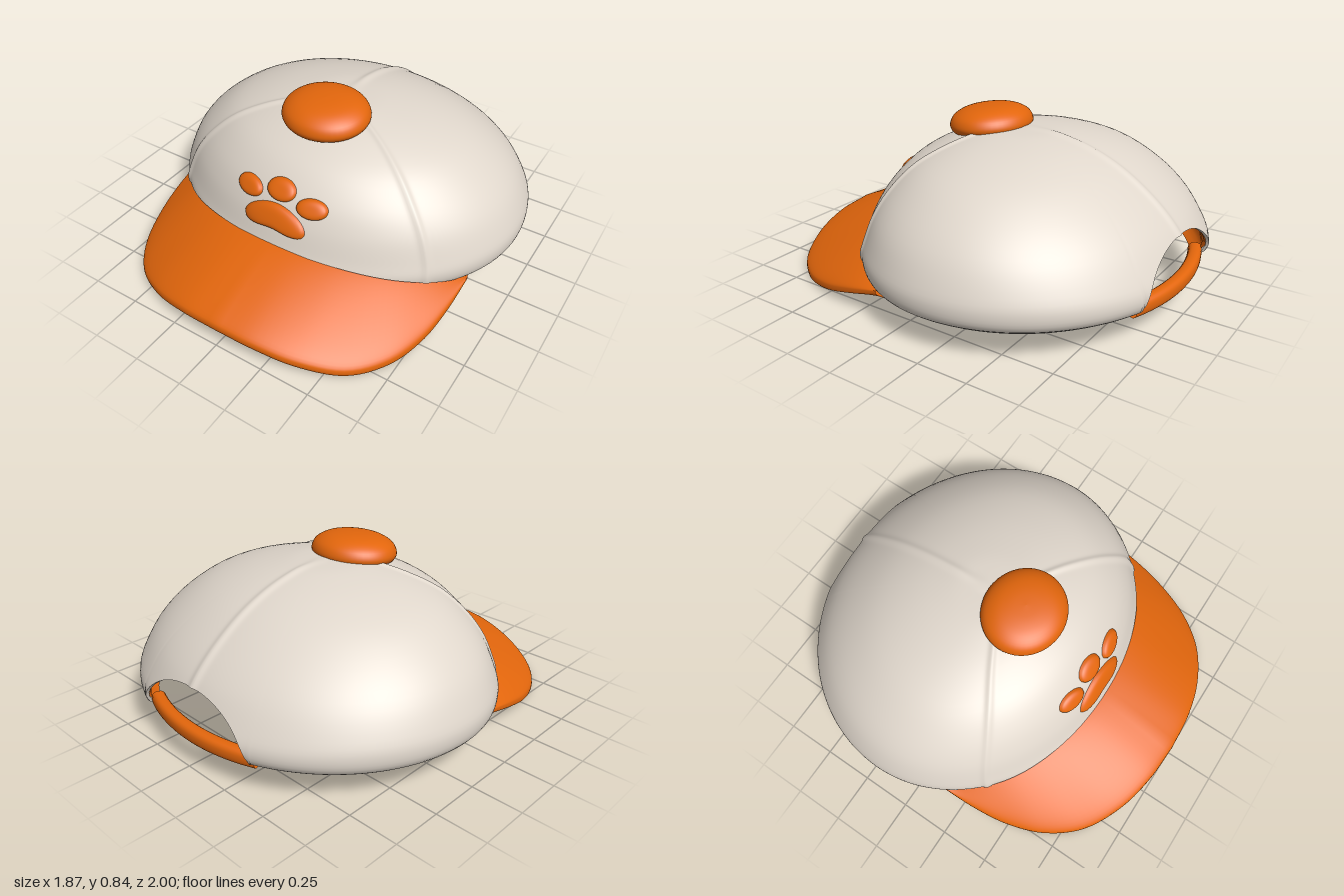
import * as THREE from 'three';
import { mergeVertices } from 'three/addons/utils/BufferGeometryUtils.js';

const V = (x, y, z) => new THREE.Vector3(x, y, z);
const TAU = Math.PI * 2;
const softPow = (a, p) => Math.sign(a) * Math.pow(Math.abs(a), p);

// Smooth grid surface; front faces look along du x dv
function surface(f, nu, nv) {
  const pos = [], idx = [];
  for (let i = 0; i <= nu; i++)
    for (let j = 0; j <= nv; j++) pos.push(...f(i / nu, j / nv).toArray());
  for (let i = 0; i < nu; i++)
    for (let j = 0; j < nv; j++) {
      const a = i * (nv + 1) + j, b = a + nv + 1;
      idx.push(a, b, b + 1, a, b + 1, a + 1);
    }
  let g = new THREE.BufferGeometry();
  g.setAttribute('position', new THREE.Float32BufferAttribute(pos, 3));
  g.setIndex(idx);
  g = mergeVertices(g, 1e-5);
  g.computeVertexNormals();
  return g;
}

// Crown rows from apex to hem: height, half width, front z, back z, centre z
const rows = [
  [0.757, 0, -0.1, -0.1, -0.1], [0.754, 0.1, -0.01, -0.21, -0.1],
  [0.743, 0.22, 0.075, -0.33, -0.11], [0.702, 0.42, 0.21, -0.495, -0.13],
  [0.632, 0.61, 0.35, -0.655, -0.15], [0.53, 0.757, 0.455, -0.805, -0.17],
  [0.42, 0.86, 0.52, -0.92, -0.18], [0.3, 0.922, 0.565, -1.0, -0.19],
  [0.23, 0.937, 0.59, -1.03, -0.19], [0.17, 0.922, 0.58, -1.02, -0.19],
  [0.127, 0.865, 0.55, -0.965, -0.19],
];
const spline = (pts, closed = false) => new THREE.CatmullRomCurve3(pts, closed, 'catmullrom', 0.5);
const sideCurve = spline(rows.map(r => V(r[1], r[0], r[2])));
const backCurve = spline(rows.map(r => V(r[4], r[0], r[3])));

function crownAt(theta, t) {
  const a = sideCurve.getPoint(t), b = backCurve.getPoint(t), c = Math.cos(theta);
  return V(a.x * Math.sin(theta), a.y, b.x + (c > 0 ? a.z - b.x : b.x - b.z) * c);
}
function tAtHeight(y) {
  let lo = 0, hi = 1;
  for (let i = 0; i < 24; i++) {
    const m = (lo + hi) / 2;
    if (sideCurve.getPoint(m).y > y) lo = m; else hi = m;
  }
  return (lo + hi) / 2;
}
// Hem height: rises over the brim and arches over the strap opening
function hemY(theta) {
  const x = 0.93 * Math.sin(theta), z = -0.19 + 0.75 * Math.cos(theta);
  if (z > 0.07) return 0.127 + (z - 0.07) * 0.333;
  if (Math.cos(theta) < 0 && Math.abs(x) < 0.37)
    return 0.127 + 0.255 * Math.pow(1 - Math.pow(Math.abs(x) / 0.37, 2.2), 0.5);
  return 0.127;
}
// Only the lower rows bend to follow the hem
function shell(theta, s) {
  const end = tAtHeight(hemY(theta));
  return crownAt(theta, s - (1 - end) * Math.pow(s, 2.4));
}
// Outer fabric with three softly raised seams
function fabric(theta, s) {
  const p = shell(theta, s), r = Math.hypot(p.x, p.z + 0.15);
  let bump = 0;
  for (const seam of [0.85, -0.85, Math.PI]) {
    const d = 2 * Math.sin((theta - seam) / 2) * r;
    bump = Math.max(bump, Math.exp(-((d / 0.018) ** 2)));
  }
  return p.add(V(p.x, p.y * 0.8, p.z + 0.15).normalize().multiplyScalar(0.009 * bump * Math.min(1, s * 5)));
}
function liner(theta, s) {
  const p = shell(theta, s), k = 0.965 + 0.018 * s ** 6;
  return V(p.x * k, p.y - 0.02 * (1 - s ** 4), -0.17 + (p.z + 0.17) * k);
}

// Point on the front of the crown at a given x and y
function onFront(x, y) {
  const t = tAtHeight(y), a = sideCurve.getPoint(t), b = backCurve.getPoint(t);
  return V(x, y, b.x + (a.z - b.x) * Math.sqrt(Math.max(0, 1 - (x / a.x) ** 2)));
}
// Puffy pad following the crown, with outline(angle fraction) around a centre
function pad(cx, cy, outline) {
  return surface((r, v) => {
    const [ox, oy] = outline(v);
    const p = onFront(cx + ox * r, cy + oy * r);
    const lift = -0.005 + 0.027 * Math.sqrt(1 - r ** 4);
    return p.add(V(p.x * 0.5, 0.4, 0.9).normalize().multiplyScalar(lift));
  }, 12, 40);
}

export function createModel() {
  const group = new THREE.Group();
  const material = (name, color) => Object.assign(
    new THREE.MeshStandardMaterial({ color, side: THREE.DoubleSide }), { name });
  const cream = material('creamFabric', 0xe0d7cc);
  const orange = material('orangeFabric', 0xe3660c);
  const add = (name, geometry, mat) => {
    const m = new THREE.Mesh(geometry, mat);
    m.name = name;
    group.add(m);
    return m;
  };

  // Crown, its inner lining and the hem edge joining them
  add('crown', surface((u, v) => fabric(-u * TAU, v), 480, 36), cream);
  add('lining', surface((u, v) => liner(u * TAU, v), 240, 24), orange);
  add('hem', surface((u, v) => fabric(-u * TAU, 1).lerp(liner(-u * TAU, 1), v), 480, 1), cream);

  // Curved brim with a rounded edge, tucked under the front hem
  const edge = spline([
    V(0, 0.117, 1), V(0.2, 0.102, 0.987), V(0.4, 0.065, 0.94), V(0.59, 0.024, 0.838),
    V(0.72, 0.02, 0.68), V(0.79, 0.045, 0.5), V(0.82, 0.09, 0.32), V(0.83, 0.14, 0.13),
  ]);
  add('brim', surface((u, v) => {
    const t = 1 - 2 * u, k = Math.abs(t), theta = 1.2 * k, phi = v * TAU;
    const inner = V(0.86 * Math.sin(theta), hemY(theta) - 0.01, -0.19 + 0.69 * Math.cos(theta));
    const p = inner.lerp(edge.getPoint(k), (1 - Math.cos(phi)) / 2);
    p.y += 0.044 * (1 - 0.7 * k ** 4) * softPow(Math.sin(phi), 0.55);
    p.x *= Math.sign(t);
    return p;
  }, 80, 48), orange);

  // Strap across the back opening
  add('strap', surface((u, v) => {
    const theta = Math.PI + (u - 0.5) * 0.84, phi = v * TAU;
    const out = 0.034 * softPow(Math.cos(phi), 0.8);
    return V((0.88 + out) * Math.sin(theta), 0.161 + 0.039 * softPow(Math.sin(phi), 0.8),
      -0.19 + (0.776 + out) * Math.cos(theta));
  }, 40, 24), orange);

  // Top button, tilted with the crown
  const profile = new THREE.SplineCurve([
    [0, -0.05], [0.12, -0.05], [0.19, -0.042], [0.215, -0.022], [0.22, 0.005],
    [0.2, 0.04], [0.15, 0.068], [0.08, 0.082], [0, 0.086],
  ].map(p => new THREE.Vector2(...p))).getPoints(32);
  profile.forEach(p => { p.x = Math.max(0, p.x); });
  const button = add('button', new THREE.LatheGeometry(profile, 48), orange);
  button.position.set(0, 0.753, 0.07);
  button.rotation.x = 0.08;
  button.scale.z = 0.91;

  // Paw emblem: three toes and a bean-shaped pad
  const toe = (w, h) => v => [w * Math.cos(v * TAU), h * Math.sin(v * TAU)];
  add('middleToe', pad(0, 0.535, toe(0.08, 0.045)), orange);
  add('leftToe', pad(0.173, 0.499, toe(0.079, 0.042)), orange);
  add('rightToe', pad(-0.173, 0.499, toe(0.079, 0.042)), orange);
  const half = [[0.08, 0.056], [0.145, 0.022], [0.174, -0.018], [0.158, -0.048], [0.105, -0.058]];
  const bean = spline([
    ...half.slice().reverse().map(([x, y]) => V(x, y, 0)), V(0, 0.07, 0),
    ...half.map(([x, y]) => V(-x, y, 0)), V(0, -0.047, 0),
  ], true);
  add('mainPad', pad(0, 0.412, v => bean.getPoint(v).toArray()), orange);

  return group;
}
